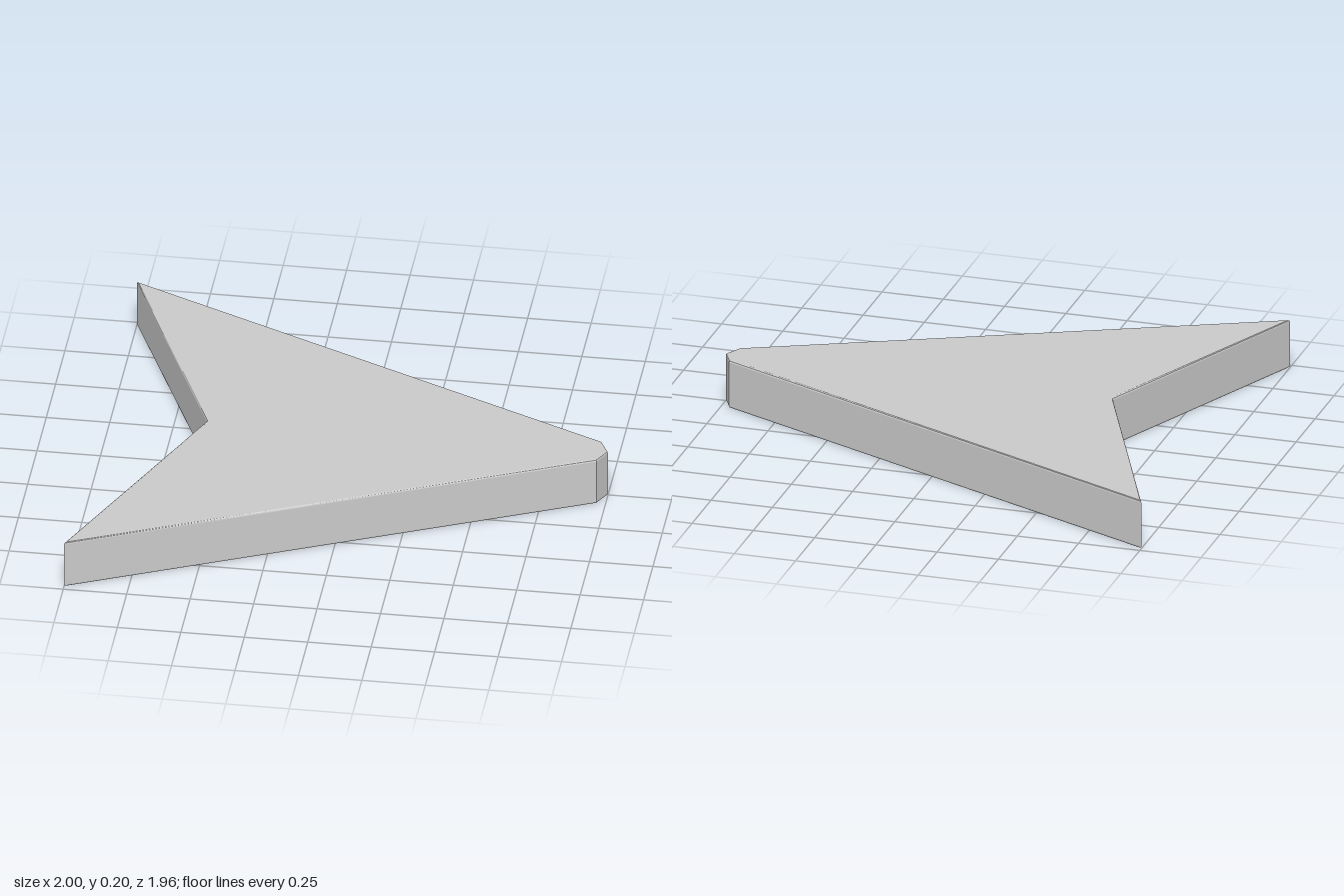
import * as THREE from 'three';

const HEIGHT = 0.2;
const BEVEL = 0.008;

export function createModel() {
  const group = new THREE.Group();
  group.name = 'arrowhead';

  // One half of the outline, from notch to nose; the other half is mirrored
  const half = [[-0.58, 0], [-1, -0.98], [0.965, -0.07], [1, 0]];
  const mirrored = half.slice(1, 3).reverse().map(([x, y]) => [x, -y]);
  const outline = [...half, ...mirrored].map(([x, y]) => new THREE.Vector2(x, y));

  // Flat plate with a fine bevel kept inside the outline
  const geometry = new THREE.ExtrudeGeometry(new THREE.Shape(outline), {
    depth: HEIGHT - 2 * BEVEL,
    bevelEnabled: true,
    bevelThickness: BEVEL,
    bevelSize: BEVEL,
    bevelOffset: -BEVEL,
    bevelSegments: 2,
  });
  geometry.rotateX(-Math.PI / 2);
  geometry.translate(0, BEVEL, 0);

  const plate = new THREE.Mesh(geometry, new THREE.MeshStandardMaterial({ color: 0xcccccc }));
  plate.name = 'arrowheadPlate';
  group.add(plate);
  return group;
}
